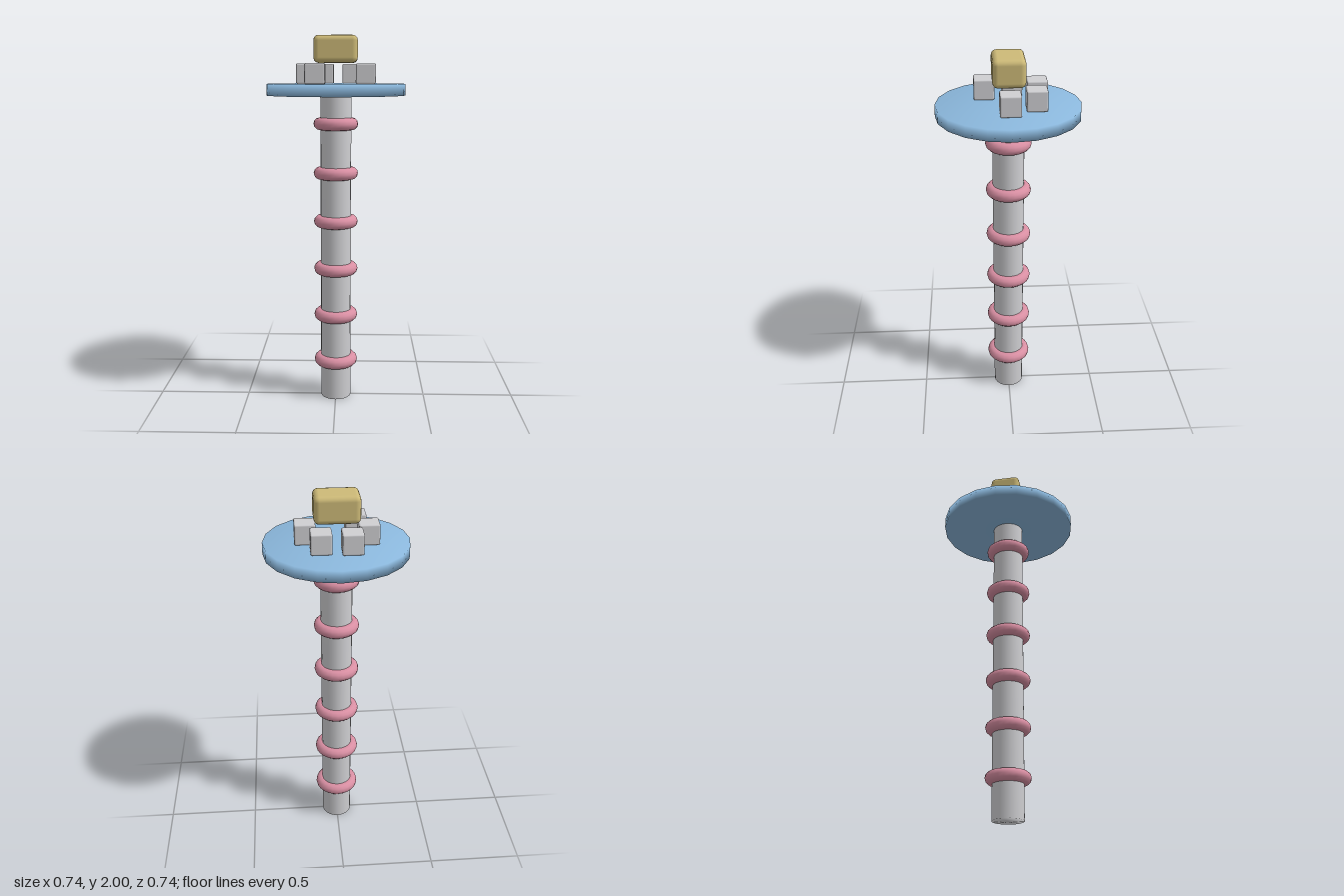
import * as THREE from 'three';
import { mergeVertices } from 'three/addons/utils/BufferGeometryUtils.js';
import { RoundedBoxGeometry } from 'three/addons/geometries/RoundedBoxGeometry.js';

const material = (name, color) => {
  const m = new THREE.MeshStandardMaterial({ color });
  m.name = name;
  return m;
};

// Cylinder whose normals run smoothly across the rim, so the edge reads as soft
function softCylinder(radius, height, sides) {
  let geo = new THREE.CylinderGeometry(radius, radius, height, sides);
  geo.deleteAttribute('normal');
  geo.deleteAttribute('uv');
  geo = mergeVertices(geo, 1e-4);
  geo.computeVertexNormals();
  return geo;
}

export function createModel() {
  const model = new THREE.Group();
  model.name = 'ringedPillar';
  const stone = material('pale grey', 0xcfcfd2);
  const blue = material('sky blue', 0x8cb9de);
  const pink = material('dusty pink', 0xd98fa3);
  const gold = material('sand gold', 0xcdba78);

  const add = (name, geo, mat, x, y, z) => {
    const mesh = new THREE.Mesh(geo, mat);
    mesh.name = name;
    mesh.position.set(x, y, z);
    model.add(mesh);
    return mesh;
  };

  // Tall pillar and the round plate on top
  add('pillar', softCylinder(0.083, 1.7, 20), stone, 0, 0.85, 0);
  add('plate', softCylinder(0.37, 0.06, 20), blue, 0, 1.72, 0);

  // Evenly spaced rings around the pillar
  const ringGeo = new THREE.TorusGeometry(0.087, 0.033, 12, 24).rotateX(Math.PI / 2);
  for (let i = 0; i < 6; i++) add('ring' + (i + 1), ringGeo, pink, 0, 0.215 + i * 0.265, 0);

  // Small blocks scattered on the plate
  const blockGeo = new RoundedBoxGeometry(0.105, 0.105, 0.105, 2, 0.008);
  const spots = [[-0.067, -0.147], [0.085, -0.135], [-0.157, -0.025], [0.158, -0.002], [-0.104, 0.12]];
  spots.forEach(([x, z], i) => add('block' + (i + 1), blockGeo, stone, x, 1.8025, z));

  // Large block resting over the small ones
  add('topBlock', new RoundedBoxGeometry(0.231, 0.142, 0.166, 2, 0.028), gold, 0, 1.929, 0);
  return model;
}
